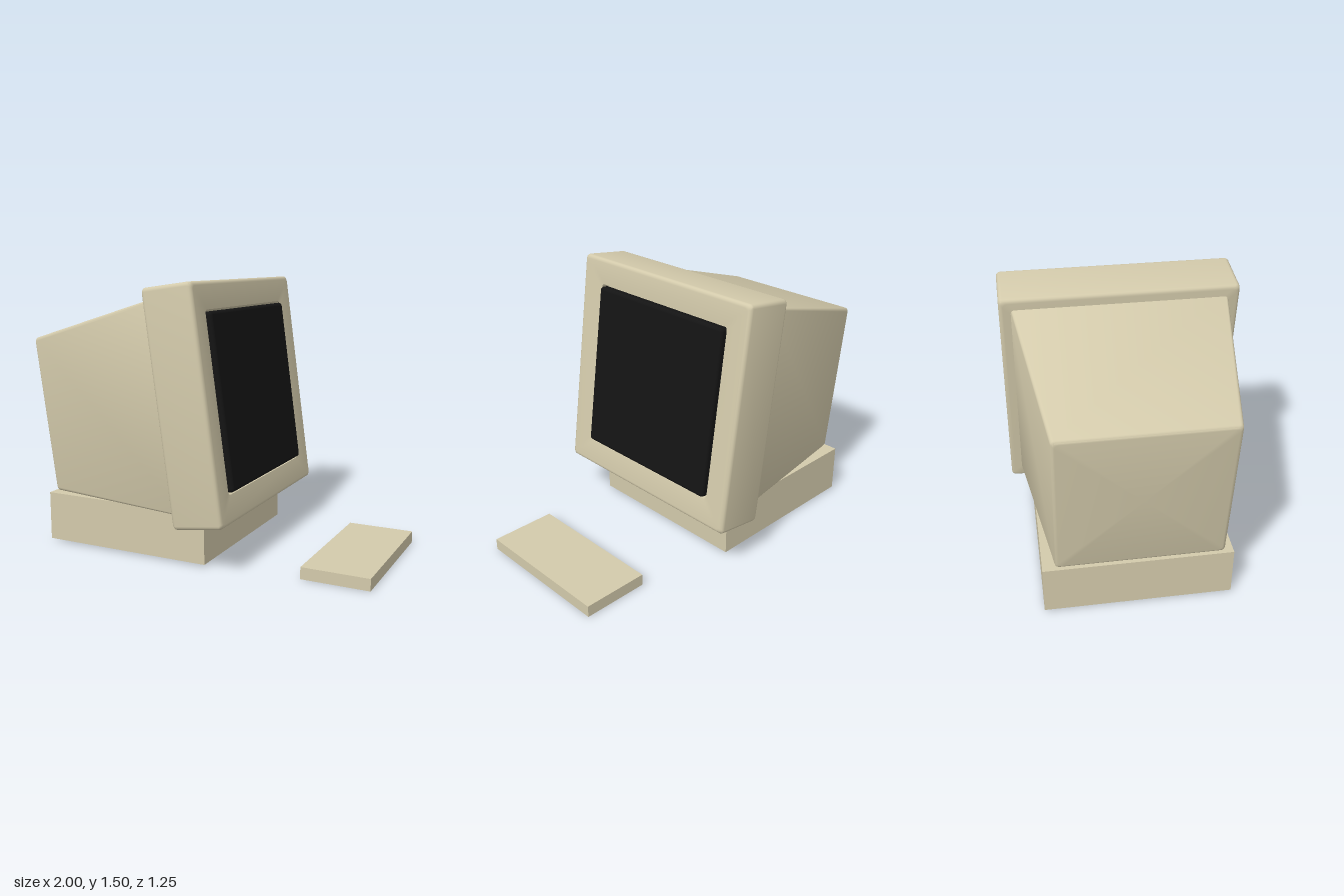
import * as THREE from 'three';
import { toCreasedNormals } from 'three/addons/utils/BufferGeometryUtils.js';
import { RoundedBoxGeometry } from 'three/addons/geometries/RoundedBoxGeometry.js';

const beige = new THREE.MeshStandardMaterial({ color: 0xd3caab });
const black = new THREE.MeshStandardMaterial({ color: 0x141414 });

// Square ring in the yz plane with rounded corners, running from +y towards +z
function ring(x, half, radius) {
  const r = Math.min(radius, half), steps = 4, points = [];
  for (let corner = 0; corner < 4; corner++) {
    const mid = Math.PI / 4 + corner * Math.PI / 2;
    const cy = Math.sign(Math.cos(mid)) * (half - r);
    const cz = Math.sign(Math.sin(mid)) * (half - r);
    for (let i = 0; i <= steps; i++) {
      const a = (corner + i / steps) * Math.PI / 2;
      points.push([x, cy + r * Math.cos(a), cz + r * Math.sin(a)]);
    }
  }
  return points;
}

// Skin over rings given as [x, half width], back to front
function loft(profile, radius) {
  const rings = profile.map(([x, half]) => ring(x, half, radius));
  const positions = [];
  for (let i = 0; i < rings.length - 1; i++) {
    const n = rings[i].length;
    for (let j = 0; j < n; j++) {
      const k = (j + 1) % n;
      const a = rings[i][j], b = rings[i][k], c = rings[i + 1][k], d = rings[i + 1][j];
      if (profile[i][1] > 0) positions.push(...a, ...b, ...c);
      if (profile[i + 1][1] > 0) positions.push(...a, ...c, ...d);
    }
  }
  const geometry = new THREE.BufferGeometry();
  geometry.setAttribute('position', new THREE.Float32BufferAttribute(positions, 3));
  return toCreasedNormals(geometry, 0.6);
}

// Quarter-round edge: dir -1 opens from a back face, +1 closes to a front face
function edge(x, half, r, dir) {
  const points = [];
  for (let i = 0; i <= 4; i++) {
    const a = (i / 4) * Math.PI / 2;
    const t = dir < 0 ? Math.PI / 2 - a : a;
    points.push([x + dir * (r * Math.sin(t) - r), half - r + r * Math.cos(t)]);
  }
  return points;
}

function part(name, geometry, material) {
  const mesh = new THREE.Mesh(geometry, material);
  mesh.name = name;
  return mesh;
}

function block(name, x0, x1, y0, y1, z0, z1) {
  const mesh = part(name, new THREE.BoxGeometry(x1 - x0, y1 - y0, z1 - z0), beige);
  mesh.position.set((x0 + x1) / 2, (y0 + y1) / 2, (z0 + z1) / 2);
  return mesh;
}

export function createModel() {
  const model = new THREE.Group();
  model.name = 'desktopComputer';

  // Tilted display, facing +x
  const monitor = new THREE.Group();
  monitor.name = 'monitor';
  monitor.position.set(0.052, 0.8625, 0);
  monitor.rotation.z = 0.138;
  model.add(monitor);

  // Tapered housing, running forward into the bezel
  monitor.add(part('rearHousing', loft([
    [-1.0, 0], ...edge(-1.0, 0.445, 0.02, -1), [-0.1, 0.572], [-0.1, 0],
  ], 0.02), beige));

  // Bezel with a shallow slope in towards the screen
  monitor.add(part('bezel', loft([
    [-0.145, 0], ...edge(-0.145, 0.626, 0.022, -1), ...edge(0.145, 0.626, 0.022, 1),
    [0.132, 0.48], [0.1, 0.47], [0.1, 0],
  ], 0.022), beige));

  // Slightly raised screen
  const screen = part('screen', new RoundedBoxGeometry(0.06, 0.94, 0.94, 4, 0.02), black);
  screen.position.x = 0.127;
  monitor.add(screen);

  // Base and keyboard
  model.add(block('base', -0.89, 0.11, 0.01, 0.285, -0.51, 0.49));
  model.add(block('keyboard', 0.63, 1.0, 0, 0.065, -0.385, 0.43));
  return model;
}
